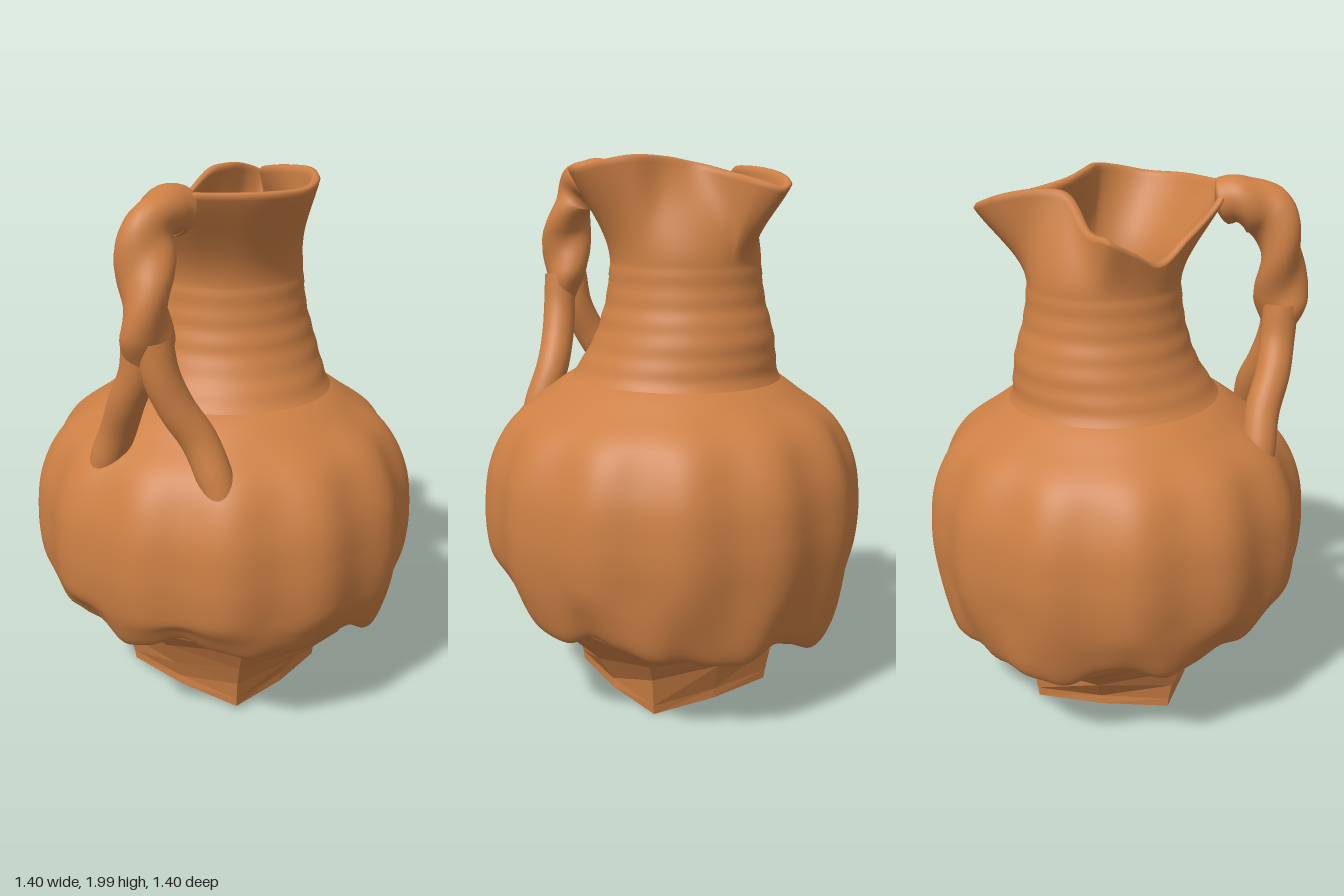
import * as THREE from 'three';

const clay = new THREE.MeshStandardMaterial({ color: 0xcd8045, side: THREE.DoubleSide });
const cutClay = new THREE.MeshStandardMaterial({ color: 0xcd8045, flatShading: true, side: THREE.DoubleSide });
const V = (x, y, z) => new THREE.Vector3(x, y, z);
const { lerp, smoothstep } = THREE.MathUtils;
const spline2 = points => new THREE.SplineCurve(points.map(p => new THREE.Vector2(...p)));
const spline3 = (points, closed) => new THREE.CatmullRomCurve3(points.map(p => V(...p)), closed);

// Skin a list of closed rings (arrays of Vector3, all the same length)
function loft(name, rings, material) {
  const n = rings[0].length, index = [];
  for (let j = 0; j < rings.length - 1; j++) {
    for (let i = 0; i < n; i++) {
      const a = j * n + i, b = j * n + (i + 1) % n;
      index.push(a, a + n, b, b, a + n, b + n);
    }
  }
  const geo = new THREE.BufferGeometry().setFromPoints(rings.flat());
  geo.setIndex(index);
  geo.computeVertexNormals();
  const mesh = new THREE.Mesh(geo, material);
  mesh.name = name;
  return mesh;
}

// Sweep a section of radius(t, angle) along a path
function sweep(name, path, steps, radius) {
  const rings = [], n = 28;
  for (let j = 0; j <= steps; j++) {
    const t = j / steps, centre = path.getPoint(t), tangent = path.getTangent(t);
    const across = V(1, 0, 0).addScaledVector(tangent, -tangent.x).normalize();
    const up = across.clone().cross(tangent);
    rings.push(Array.from({ length: n }, (_, i) => {
      const a = i / n * Math.PI * 2, r = radius(t, a);
      return centre.clone().addScaledVector(across, r * Math.cos(a)).addScaledVector(up, r * Math.sin(a));
    }));
  }
  return loft(name, rings, clay);
}

// Slope of the belly's lower edge: high in front, low behind
const edgeTilt = a => 0.02 * Math.cos(a) + 0.065 * Math.sin(a);

// Softly lobed belly with a ragged lower lip
function makeBody() {
  const profile = spline2([
    [0.4, 0.4], [0.53, 0.375], [0.605, 0.37], [0.657, 0.48], [0.685, 0.6], [0.692, 0.74], [0.67, 0.9],
    [0.595, 1.05], [0.47, 1.15], [0.385, 1.21], [0.3, 1.25],
  ]);
  const rings = [], n = 208;
  for (let j = 0; j <= 70; j++) {
    const p = profile.getPoint(j / 70);
    const lobeAmount = 0.012 * smoothstep(p.y, 0.35, 0.6) * (1 - smoothstep(p.y, 0.95, 1.2));
    const ragged = 1 - smoothstep(p.y, 0.38, 0.6);
    const lip = ragged * smoothstep(p.x, 0.5, 0.6);
    rings.push(Array.from({ length: n }, (_, i) => {
      const a = i / n * Math.PI * 2;
      const lobe = Math.cos(13 * (a + 0.09)) + 0.25 * Math.sin(3 * a + 1);
      const jag = 0.022 * Math.sin(7 * a) + 0.016 * Math.sin(11 * a + 1) + 0.005 * Math.sin(23 * a);
      const r = p.x + lobeAmount * lobe + lip * 0.012 * Math.sin(9 * a + 2);
      return V(r * Math.cos(a), p.y + edgeTilt(a) * ragged + jag * lip, r * Math.sin(a));
    }));
  }
  return loft('body', rings, clay);
}

// Faceted square foot, flaring out to meet the belly
function makeFoot() {
  // half width in x, half width in z, corner radius, height, share of the belly's tilt
  const levels = [
    [0, 0, 0, 0.025, 0], [0.275, 0.275, 0.36, 0.025, 0], [0.275, 0.275, 0.365, 0.06, 0], [0.335, 0.305, 0.385, 0.15, 0],
    [0.43, 0.355, 0.44, 0.235, 0.3], [0.53, 0.49, 0.53, 0.325, 0.9], [0.57, 0.57, 0.57, 0.39, 1],
  ];
  return loft('foot', levels.map(([halfX, halfZ, corner, y, tilt], j) => Array.from({ length: 8 }, (_, i) => {
    const a = i * Math.PI / 4;
    const x = (i % 2 ? corner : halfX) * Math.cos(a), z = (i % 2 ? corner : halfZ) * Math.sin(a);
    const slant = j < 3 ? 0.055 * z - 0.02 * x : 0;
    return V(x, y + slant + tilt * edgeTilt(a), z);
  })), cutClay);
}

// Faintly ridged neck opening into a folded, pinched rim with a spout
function makeNeck() {
  const rim = spline3([
    [0.37, 1.95, 0.03], [0.335, 1.95, 0.17], [0.23, 1.95, 0.29], [0.13, 1.95, 0.37], [0.01, 1.92, 0.37],
    [-0.08, 1.8, 0.27], [-0.18, 1.72, 0.19], [-0.27, 1.77, 0.12], [-0.33, 1.82, 0.04], [-0.26, 1.83, -0.05],
    [-0.19, 1.94, -0.14], [-0.18, 1.95, -0.22], [-0.2, 1.93, -0.36], [-0.18, 1.9, -0.45], [-0.125, 1.88, -0.48],
    [-0.065, 1.9, -0.43], [-0.02, 1.93, -0.3], [0.04, 1.96, -0.2], [0.13, 1.98, -0.165], [0.26, 1.985, -0.15],
    [0.34, 1.97, -0.08],
  ], true);
  const n = 168, cx = -0.025, cz = -0.045, flareY = 1.62;
  const lip = Array.from({ length: n }, (_, i) => rim.getPoint(i / n));
  const outer = [];
  // Round lower neck, with throwing ridges
  const profile = spline2([[0.44, 1.14], [0.385, 1.21], [0.35, 1.29], [0.315, 1.4], [0.288, 1.5], [0.273, flareY]]);
  const circle = (r, y) => lip.map(p => {
    const a = Math.atan2(p.z - cz, p.x - cx), k = smoothstep(y, 1.14, 1.4);
    return V(cx * k + r * Math.cos(a), y, cz * k + r * Math.sin(a));
  });
  for (let j = 0; j < 40; j++) {
    const p = profile.getPoint(j / 40);
    outer.push(circle(p.x + 0.0015 * Math.sin(p.y * 80), p.y));
  }
  // Flare from the circle to the rim outline
  const top = circle(0.273, flareY);
  for (let j = 0; j <= 24; j++) {
    const s = j / 24, w = lerp(s * s, smoothstep(s, 0, 1), 0.5);
    outer.push(top.map((c, i) => V(lerp(c.x, lip[i].x, w), lerp(c.y, lip[i].y, s), lerp(c.z, lip[i].z, w))));
  }
  // Shift a ring inward by the wall thickness
  const inset = (ring, d, dy = 0) => ring.map((p, i) => {
    const q = ring[(i + 1) % n].clone().sub(ring[(i + n - 1) % n]).setY(0).normalize();
    return V(p.x - q.z * d, p.y + dy, p.z + q.x * d);
  });
  const edge = outer[outer.length - 1];
  const inner = outer.slice(8).reverse().map(r => inset(r, 0.03));
  const floor = inner[inner.length - 1].map(p => V(cx, p.y - 0.01, cz));
  return loft('neck', [...outer, inset(edge, 0.006, 0.01), inset(edge, 0.022, 0.011), ...inner, floor], clay);
}

// Twisted handle arching from the rim, parting into two legs that sink into the shoulder
function makeHandle() {
  const group = new THREE.Group();
  group.name = 'handle';
  const spine = spline3([
    [0.09, 1.895, 0.33], [0.09, 1.91, 0.41], [0.105, 1.86, 0.51], [0.125, 1.72, 0.56], [0.135, 1.56, 0.565], [0.13, 1.39, 0.555],
  ]);
  // Two-lobed section whose turning gives the rope twist
  group.add(sweep('twistedShaft', spine, 90, (t, a) => {
    const ends = Math.sqrt(smoothstep(t, -0.02, 0.07)) * (1 - 0.45 * smoothstep(t, 0.8, 1));
    const twist = 0.014 * smoothstep(t, 0.1, 0.4);
    return ends * (0.083 + twist * Math.cos(2 * (a - (1 - t) * Math.PI * 2.5)));
  }));
  const legs = [
    ['leftLeg', [[0.16, 1.54, 0.565], [0.175, 1.42, 0.55], [0.205, 1.31, 0.515], [0.26, 1.19, 0.465], [0.32, 1.06, 0.455], [0.37, 0.92, 0.46]]],
    ['rightLeg', [[0.11, 1.54, 0.57], [0.09, 1.42, 0.565], [0.035, 1.31, 0.56], [-0.035, 1.18, 0.535], [-0.09, 1.06, 0.535], [-0.13, 0.92, 0.54]]],
  ];
  for (const [name, points] of legs) {
    group.add(sweep(name, spline3(points), 50, t => 0.062 - 0.012 * smoothstep(t, 0.75, 1)));
  }
  return group;
}

export function createModel() {
  const model = new THREE.Group();
  model.name = 'jug';
  model.add(makeFoot(), makeBody(), makeNeck(), makeHandle());
  return model;
}
